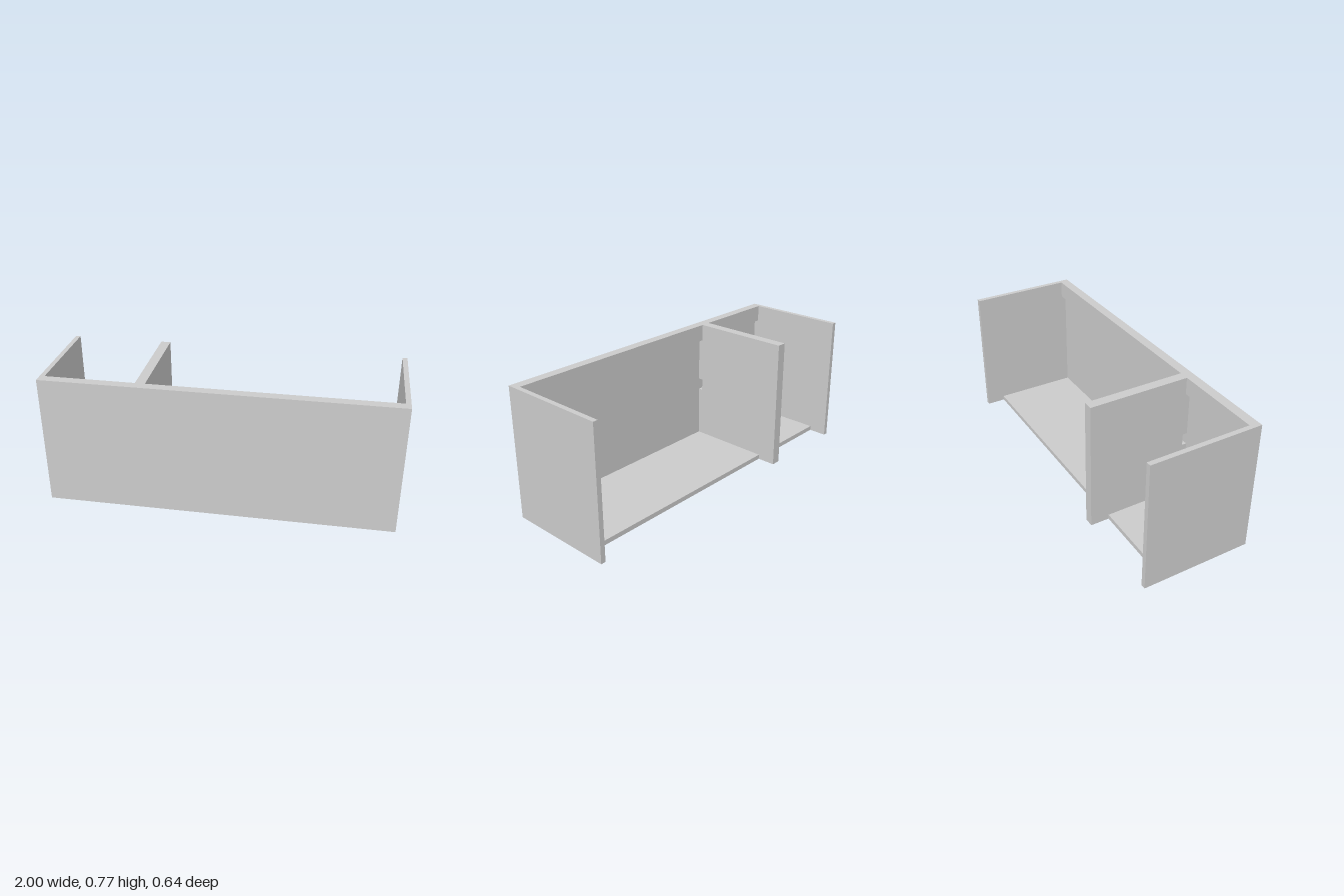
import * as THREE from 'three';

const material = new THREE.MeshStandardMaterial({ color: 0xcccccc });

// Board given by its minimum and maximum on each axis
function board(name, [x0, x1], [y0, y1], [z0, z1]) {
  const mesh = new THREE.Mesh(new THREE.BoxGeometry(x1 - x0, y1 - y0, z1 - z0), material);
  mesh.position.set((x0 + x1) / 2, (y0 + y1) / 2, (z0 + z1) / 2);
  mesh.name = name;
  return mesh;
}

export function createModel() {
  const group = new THREE.Group();
  group.name = 'counter';
  const H = 0.77, D = 0.32, T = 0.028;
  const inner = 1 - T, frontInner = D - T, railBack = 0.265;
  const railBottom = 0.67, floorBack = -0.21;

  // Front panel and the two ends
  group.add(board('frontPanel', [-1, 1], [0, H], [frontInner, D]));
  group.add(board('leftEnd', [inner, 1], [0, H], [-D, frontInner]));
  group.add(board('rightEnd', [-1, -inner], [0, H], [-D, frontInner]));

  // Floor and the rail along the top of the front panel
  group.add(board('floor', [-inner, inner], [0, T], [floorBack, frontInner]));
  group.add(board('topRail', [-inner, inner], [railBottom, H], [railBack, frontInner]));

  // Partition profile in (z, y): cut around floor and rail, with a cable notch at the front
  const profile = new THREE.Shape([
    [-D, 0], [floorBack, 0], [floorBack, T], [frontInner, T],
    [frontInner, 0.335], [railBack, 0.335], [railBack, 0.405], [frontInner, 0.405],
    [frontInner, railBottom], [railBack, railBottom], [railBack, H], [-D, H],
  ].map(([z, y]) => new THREE.Vector2(z, y)));
  const geometry = new THREE.ExtrudeGeometry(profile, { depth: 0.056, bevelEnabled: false });
  geometry.rotateY(-Math.PI / 2);
  const partition = new THREE.Mesh(geometry, material);
  partition.position.x = -0.404;
  partition.name = 'partition';
  group.add(partition);

  return group;
}
